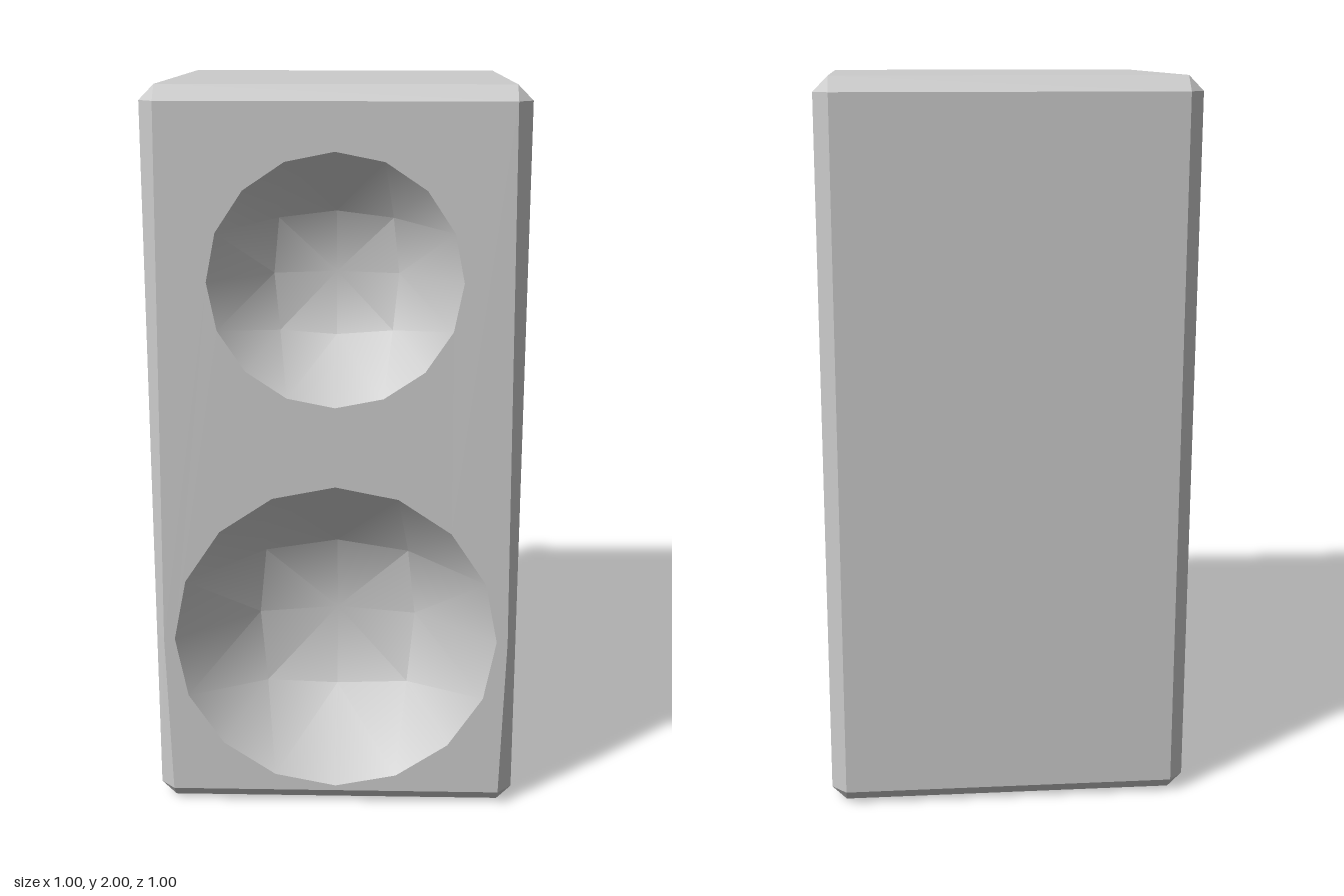
import * as THREE from 'three';
import { toCreasedNormals } from 'three/addons/utils/BufferGeometryUtils.js';

const grey = new THREE.MeshStandardMaterial({ color: 0xcccccc });
const W = 0.5, H = 1, D = 0.5, B = 0.04; // half sizes and bevel
const recesses = [{ y: 1.5, r: 0.335 }, { y: 0.5, r: 0.445 }];

// Triangles from quads, leaving out collapsed ones
function fromQuads(quads) {
  const pos = [];
  const tri = (a, b, c) => {
    if (new THREE.Triangle(a, b, c).getArea() > 1e-8) for (const p of [a, b, c]) pos.push(p.x, p.y, p.z);
  };
  for (const [a, b, c, d] of quads) { tri(a, b, c); tri(a, c, d); }
  const geo = new THREE.BufferGeometry();
  geo.setAttribute('position', new THREE.Float32BufferAttribute(pos, 3));
  geo.computeVertexNormals();
  return geo;
}

// Closed outline, anticlockwise seen from the front. px/py are the ends of the
// flat sides; ox/oy the outermost extents; mid is the half width at the lower recess.
function outline(z, ox, oy, mid) {
  const px = W - B, py = H - B;
  return [
    [ox, -py], [mid, -0.5], [ox, py], [px, oy], [-px, oy],
    [-ox, py], [-mid, -0.5], [-ox, -py], [-px, -oy], [px, -oy],
  ].map(([x, y]) => new THREE.Vector3(x, y + H, z));
}

// Dished recess on a 4 x 4 grid of quads whose border is a 16-sided circle
function recessGeometry(r) {
  const depth = 0.56 * r;
  const point = (i, j) => {
    const m = Math.max(Math.abs(i), Math.abs(j));
    if (m === 0) return new THREE.Vector3(0, 0, -depth);
    // angle follows the square ring evenly
    const a = Math.abs(i) >= Math.abs(j)
      ? (i > 0 ? 0 : Math.PI) + (j / i) * Math.PI / 4
      : (j > 0 ? 1 : -1) * Math.PI / 2 - (i / j) * Math.PI / 4;
    const corner = Math.abs(i) === Math.abs(j);
    const rad = m === 2 ? r : r * (corner ? 0.64 : 0.5);
    const z = m === 2 ? 0 : -depth * (corner ? 0.7 : 0.82);
    return new THREE.Vector3(rad * Math.cos(a), rad * Math.sin(a), z);
  };
  const quads = [];
  for (let i = -2; i < 2; i++) for (let j = -2; j < 2; j++) {
    const q = [point(i, j), point(i + 1, j), point(i + 1, j + 1), point(i, j + 1)];
    // split corner quads outward from their inner corner
    if ((i < 0) !== (j < 0)) q.push(q.shift());
    quads.push(q);
  }
  return toCreasedNormals(fromQuads(quads), Math.PI / 6);
}

export function createModel() {
  const group = new THREE.Group();
  const add = (geo, name, y = 0, z = 0) => {
    const mesh = new THREE.Mesh(geo, grey);
    mesh.name = name;
    mesh.position.set(0, y, z);
    group.add(mesh);
  };

  // Bevelled sides: outlines joined from front to back
  const front = outline(D, W - B, H - B, 0.475);
  const loops = [
    front,
    outline(D - B, W, H, W),
    outline(-D + B, W, H, W),
    outline(-D, W - B, H - B, W - B),
  ];
  const quads = [];
  for (let k = 0; k < 3; k++) {
    front.forEach((_, i) => {
      const j = (i + 1) % front.length;
      quads.push([loops[k][i], loops[k + 1][i], loops[k + 1][j], loops[k][j]]);
    });
  }
  add(fromQuads(quads), 'cabinetSides');

  // Flat back
  const back = new THREE.PlaneGeometry(2 * (W - B), 2 * (H - B)).rotateY(Math.PI);
  add(back, 'cabinetBack', H, -D);

  // Front panel with two 16-sided openings
  const panel = new THREE.Shape([0, 1, 2, 5, 6, 7].map((i) => new THREE.Vector2(front[i].x, front[i].y)));
  for (const { y, r } of recesses) {
    const pts = [];
    for (let k = 0; k < 16; k++) {
      const a = -k * Math.PI / 8;
      pts.push(new THREE.Vector2(r * Math.cos(a), y + r * Math.sin(a)));
    }
    panel.holes.push(new THREE.Path(pts));
  }
  add(new THREE.ShapeGeometry(panel), 'frontPanel', 0, D);

  // Dished recesses
  recesses.forEach(({ y, r }, i) => add(recessGeometry(r), i ? 'lowerRecess' : 'upperRecess', y, D));

  return group;
}
